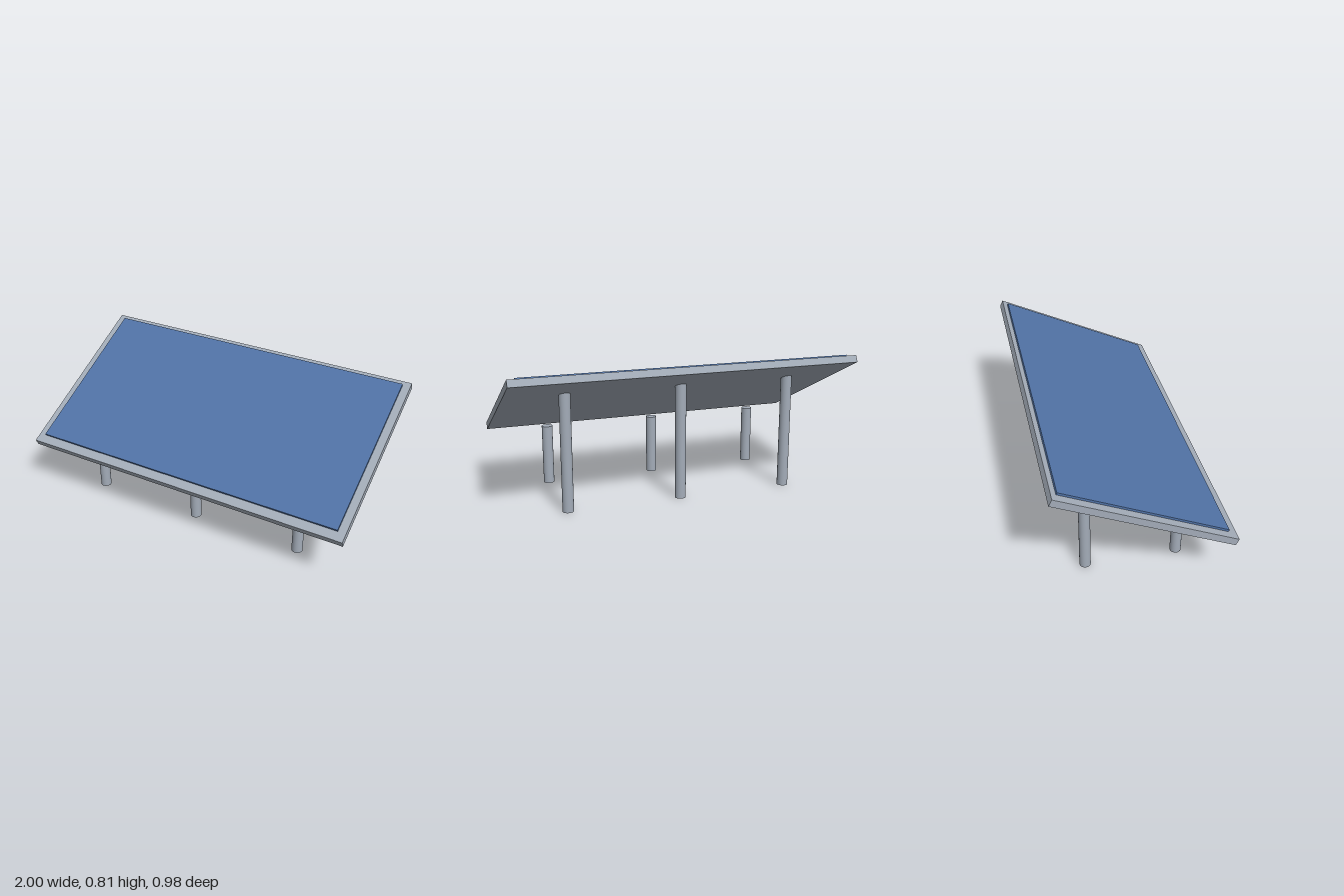
import * as THREE from 'three';

export function createModel() {
  const steel = new THREE.MeshStandardMaterial({ color: 0xa3acb8 });
  steel.name = 'steel grey';
  const blue = new THREE.MeshStandardMaterial({ color: 0x5173a6 });
  blue.name = 'panel blue';

  const model = new THREE.Group();
  model.name = 'solarPanel';
  const add = (parent, name, geometry, material, x, y, z) => {
    const mesh = new THREE.Mesh(geometry, material);
    mesh.name = name;
    mesh.position.set(x, y, z);
    parent.add(mesh);
  };

  // Tilted tray with the collector plate, set slightly towards the high edge
  const table = new THREE.Group();
  table.name = 'tiltedTable';
  table.position.set(0, 0.563, 0.0015);
  table.rotation.x = 0.4488;
  model.add(table);
  add(table, 'frame', new THREE.BoxGeometry(2, 0.042, 1.071), steel, 0, 0, 0);
  add(table, 'collectorPlate', new THREE.BoxGeometry(1.91, 0.024, 0.989), blue, 0, 0.022, -0.0125);

  // Three short front posts and three tall back posts
  const rows = [
    { name: 'frontPost', height: 0.358, z: 0.263 },
    { name: 'backPost', height: 0.688, z: -0.262 },
  ];
  for (const { name, height, z } of rows) {
    const post = new THREE.CylinderGeometry(0.032, 0.032, height, 24);
    for (const x of [-0.667, 0, 0.667]) add(model, name, post, steel, x, height / 2, z);
  }
  return model;
}
